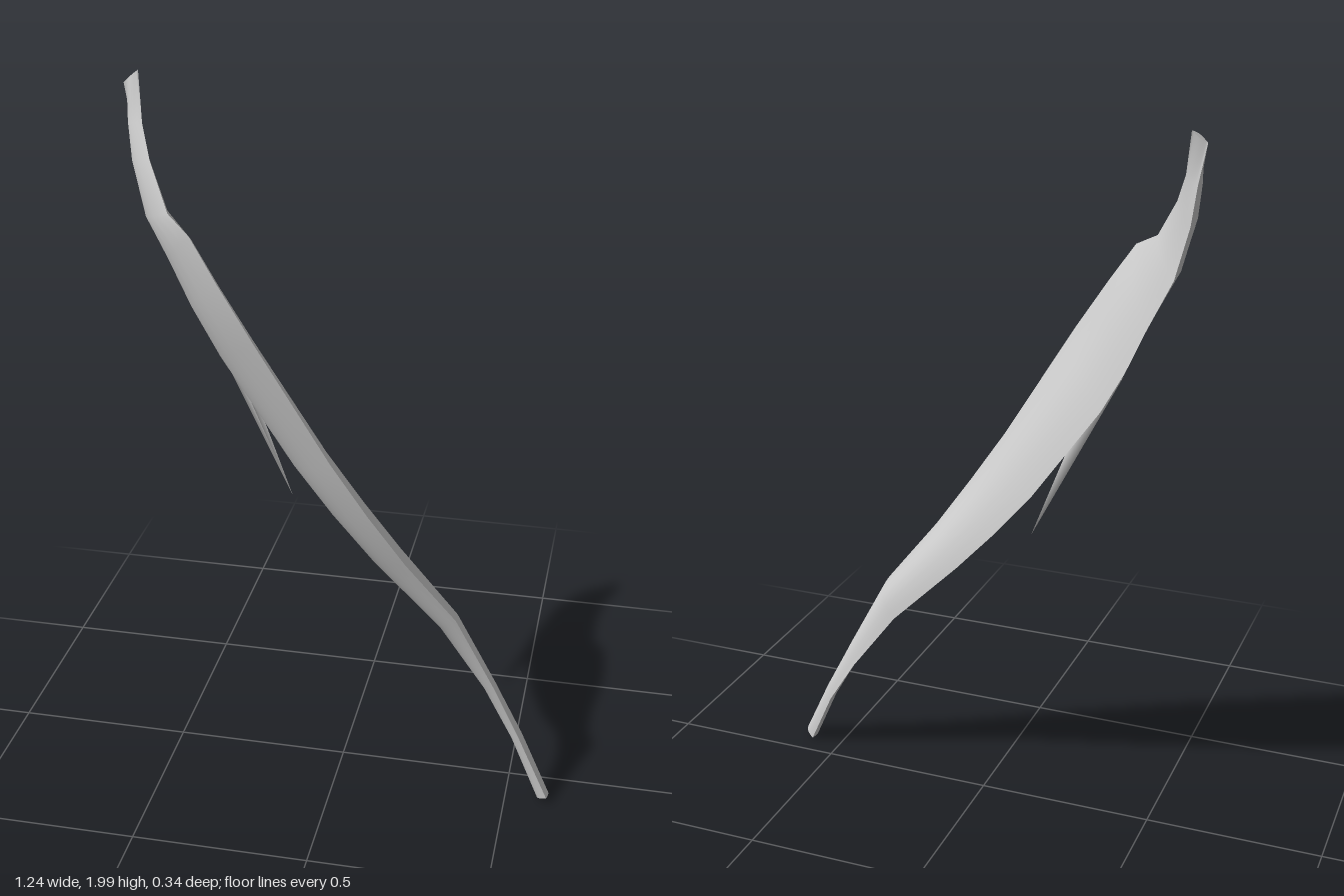
import * as THREE from 'three';

const grey = new THREE.MeshStandardMaterial({ color: 0xcccccc, side: THREE.DoubleSide });
const vec = (p) => new THREE.Vector3(...p);

// Stations from tip to quill: upper edge, lower edge, bulge of outer face, bulge of inner face
const stations = [
  [[-0.585, 2.0, -0.17], [-0.62, 1.97, -0.15], 0.012, 0.008],
  [[-0.555, 1.88, -0.09], [-0.605, 1.87, -0.17], 0.026, 0.006],
  [[-0.52, 1.8, -0.03], [-0.59, 1.77, -0.162], 0.034, 0.008],
  [[-0.45, 1.69, 0.06], [-0.55, 1.63, -0.142], 0.042, 0.014],
  [[-0.38, 1.65, 0.11], [-0.48, 1.49, -0.125], 0.047, 0.022],
  [[-0.3, 1.54, 0.148], [-0.425, 1.37, -0.113], 0.049, 0.029],
  [[-0.2, 1.39, 0.17], [-0.36, 1.255, -0.1], 0.049, 0.035],
  [[0, 1.06, 0.165], [-0.16, 0.975, -0.065], 0.046, 0.04],
  [[0.1, 0.91, 0.158], [-0.05, 0.845, -0.047], 0.043, 0.041],
  [[0.2, 0.765, 0.14], [0.07, 0.715, -0.03], 0.038, 0.04],
  [[0.34, 0.585, 0.11], [0.28, 0.505, 0], 0.024, 0.034],
  [[0.45, 0.37, 0.095], [0.42, 0.32, 0.01], 0.016, 0.02],
  [[0.53, 0.21, 0.1], [0.51, 0.18, 0.03], 0.016, 0.017],
  [[0.62, 0.03, 0.125], [0.595, 0.008, 0.065], 0.018, 0.018],
];
const ACROSS = 8;
const upper = stations.map((s) => vec(s[0]));
const lower = stations.map((s) => vec(s[1]));

// Point on a face: sign +1 is the inner face, -1 the outer one
function facePoint(i, j, sign) {
  const prev = Math.max(i - 1, 0), next = Math.min(i + 1, stations.length - 1);
  const along = upper[next].clone().add(lower[next]).sub(upper[prev]).sub(lower[prev]);
  const normal = upper[i].clone().sub(lower[i]).cross(along).normalize();
  const bulge = (sign > 0 ? stations[i][3] : -stations[i][2]) * Math.sin((Math.PI * j) / ACROSS);
  return lower[i].clone().lerp(upper[i], j / ACROSS).addScaledVector(normal, bulge);
}

function makeMesh(name, positions, index) {
  const geometry = new THREE.BufferGeometry();
  geometry.setAttribute('position', new THREE.Float32BufferAttribute(positions, 3));
  geometry.setIndex(index);
  geometry.computeVertexNormals();
  const mesh = new THREE.Mesh(geometry, grey);
  mesh.name = name;
  return mesh;
}

// One lofted side of the vane
function vaneFace(name, sign) {
  const positions = [], index = [], row = ACROSS + 1;
  for (let i = 0; i < stations.length; i++) {
    for (let j = 0; j <= ACROSS; j++) positions.push(...facePoint(i, j, sign).toArray());
  }
  for (let i = 0; i < stations.length - 1; i++) {
    for (let j = 0; j < ACROSS; j++) {
      const a = i * row + j, b = a + 1, c = a + row, d = c + 1;
      if (sign > 0) index.push(a, b, d, a, d, c);
      else index.push(a, d, b, a, c, d);
    }
  }
  return makeMesh(name, positions, index);
}

// Flat cap joining the two faces at an end
function endCap(name, i, flip) {
  const positions = [], index = [];
  for (let j = 0; j <= ACROSS; j++) {
    positions.push(...facePoint(i, j, 1).toArray(), ...facePoint(i, j, -1).toArray());
  }
  for (let j = 0; j < ACROSS; j++) {
    const a = j * 2, b = a + 1, c = a + 2, d = a + 3;
    if (flip) index.push(a, c, d, a, d, b);
    else index.push(a, d, c, a, b, d);
  }
  return makeMesh(name, positions, index);
}

export function createModel() {
  const feather = new THREE.Group();
  feather.name = 'feather';
  feather.add(vaneFace('innerVane', 1), vaneFace('outerVane', -1));
  feather.add(endCap('tipCap', 0, true), endCap('quillCap', stations.length - 1, false));

  // Loose barb splitting from the lower edge, a thin three-sided spike
  const barb = [
    [-0.42, 1.36, -0.1], [-0.26, 1.12, -0.07], [-0.29, 1.17, -0.05], [-0.15, 0.85, -0.03],
  ];
  feather.add(makeMesh('looseBarb', barb.flat(), [0, 1, 3, 0, 3, 2, 1, 2, 3, 0, 2, 1]));
  return feather;
}
